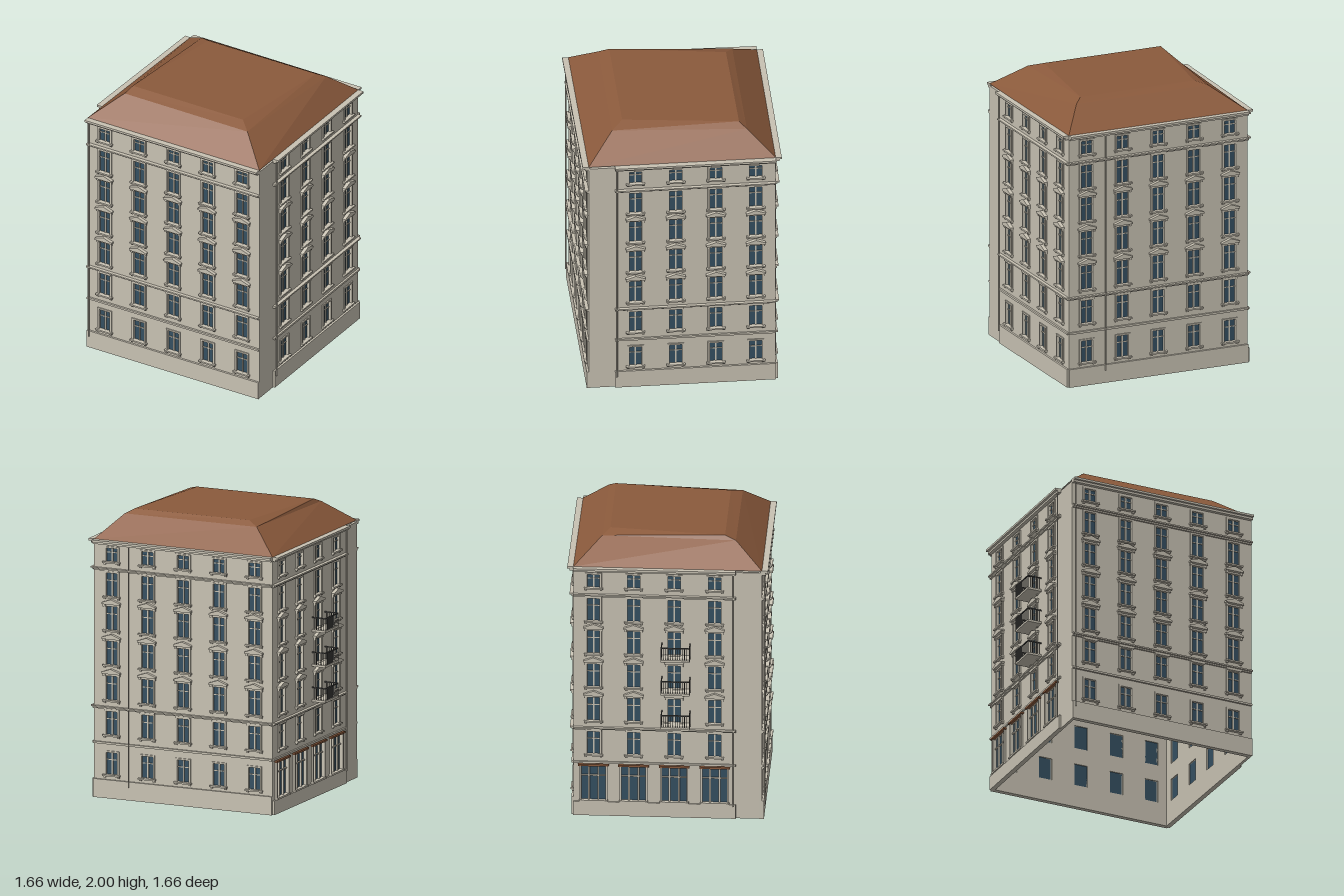
import * as THREE from 'three';

const stone = new THREE.MeshStandardMaterial({ color: 0xc8c2b3, side: THREE.DoubleSide });
stone.name = 'pale stone';
const glass = new THREE.MeshStandardMaterial({ color: 0x34506a, side: THREE.DoubleSide });
glass.name = 'blue grey glass';
glass.color.set(0x344f61);
const tile = new THREE.MeshStandardMaterial({ color: 0x8b5a3c });
tile.name = 'brown roof tile';
const iron = new THREE.MeshStandardMaterial({ color: 0x4a4a48 });
iron.name = 'dark iron';

// footprint corners [x, z]; the plan is slightly skewed and turned
const FL = [-0.524, 0.784], FR = [0.818, 0.464], BR = [0.529, -0.793], BL = [-0.791, -0.487];
const WALL_TOP = 1.8, STRIP = 0.18, WIN_W = 0.1;

// storeys: window bottom, window top, pediment
const storeys = [
  [0.165, 0.325, false], [0.445, 0.615, false], [0.69, 0.865, true], [0.938, 1.11, true],
  [1.183, 1.355, true], [1.42, 1.59, false], [1.665, 1.765, false],
];

// box between x0..x1, y0..y1, z0..z1
function box(parent, name, mat, x0, x1, y0, y1, z0, z1) {
  const m = new THREE.Mesh(new THREE.BoxGeometry(x1 - x0, y1 - y0, z1 - z0), mat);
  m.position.set((x0 + x1) / 2, (y0 + y1) / 2, (z0 + z1) / 2);
  m.name = name;
  parent.add(m);
  return m;
}

function pane(parent, x, w, y0, y1) {
  const m = new THREE.Mesh(new THREE.PlaneGeometry(w, y1 - y0), glass);
  m.position.set(x, (y0 + y1) / 2, -0.012);
  m.name = 'glass';
  parent.add(m);
}

// gabled hood over a window
const hoodShape = new THREE.Shape([
  [-0.068, 0], [0.068, 0], [0.068, 0.012], [0, 0.036], [-0.068, 0.012],
].map(([x, y]) => new THREE.Vector2(x, y)));
const hoodGeometry = new THREE.ExtrudeGeometry(hoodShape, { depth: 0.025, bevelEnabled: false });

function addWindow(wall, x, [y0, y1, hood]) {
  const g = new THREE.Group();
  g.name = 'window';
  g.position.x = x;
  wall.add(g);
  const h = WIN_W / 2;
  pane(g, 0, WIN_W, y0, y1);
  for (const s of [-1, 1]) {
    box(g, 'jamb', stone, s * h - 0.007, s * h + 0.007, y0, y1, -0.012, 0.008);
    box(g, 'sillBracket', stone, s * 0.052 - 0.008, s * 0.052 + 0.008, y0 - 0.02, y0 - 0.008, 0, 0.012);
  }
  box(g, 'lintel', stone, -h - 0.007, h + 0.007, y1 - 0.004, y1 + 0.008, -0.012, 0.008);
  box(g, 'sill', stone, -0.065, 0.065, y0 - 0.009, y0 + 0.002, -0.01, 0.022);
  box(g, 'mullion', stone, -0.005, 0.005, y0, y1, -0.011, -0.004);
  const ty = y0 + (y1 - y0) * 0.66;
  box(g, 'transom', stone, -h, h, ty - 0.003, ty + 0.003, -0.011, -0.005);
  if (hood) {
    const m = new THREE.Mesh(hoodGeometry, stone);
    m.position.set(0, y1 + 0.012, 0);
    m.name = 'pediment';
    g.add(m);
    for (const s of [-1, 1])
      box(g, 'hoodBracket', stone, s * 0.055 - 0.008, s * 0.055 + 0.008, y1 - 0.006, y1 + 0.012, 0, 0.015);
  }
}

// glazed shop opening on the street side
function addShopfront(wall, x) {
  const g = new THREE.Group();
  g.name = 'shopfront';
  g.position.x = x;
  wall.add(g);
  pane(g, 0, 0.18, 0.11, 0.36);
  for (const px of [-0.09, -0.032, 0.032, 0.09])
    box(g, 'shopPost', stone, px - 0.006, px + 0.006, 0.11, 0.36, -0.012, Math.abs(px) > 0.05 ? 0.014 : 0.002);
  box(g, 'shopTransom', stone, -0.09, 0.09, 0.285, 0.293, -0.011, 0);
  box(g, 'shopSill', stone, -0.1, 0.1, 0.1, 0.112, -0.011, 0.022);
  box(g, 'shopFascia', tile, -0.105, 0.105, 0.362, 0.375, 0, 0.022);
}

function addBalcony(wall, x, y) {
  const g = new THREE.Group();
  g.name = 'balcony';
  g.position.set(x, y, 0);
  wall.add(g);
  box(g, 'balconySlab', stone, -0.1, 0.1, -0.015, 0, 0, 0.105);
  box(g, 'frontRail', iron, -0.1, 0.1, 0.082, 0.09, 0.097, 0.105);
  for (const s of [-1, 1])
    box(g, 'sideRail', iron, s * 0.097 - 0.003, s * 0.097 + 0.003, 0.082, 0.09, 0, 0.1);
  for (let i = 0; i <= 12; i++) {
    const bx = -0.097 + i * 0.194 / 12;
    box(g, 'baluster', iron, bx - 0.002, bx + 0.002, 0, 0.083, 0.099, 0.103);
  }
  for (const s of [-1, 1]) for (let i = 1; i < 6; i++)
    box(g, 'baluster', iron, s * 0.097 - 0.002, s * 0.097 + 0.002, 0, 0.083, i * 0.017 - 0.002, i * 0.017 + 0.002);
}

// one wall from corner a to corner b; local +z faces out
function buildWall(name, a, b, { columns, from = 0, to = 0, shops = false, pipe }) {
  const dx = b[0] - a[0], dz = b[1] - a[1], len = Math.hypot(dx, dz);
  const wall = new THREE.Group();
  wall.name = name;
  wall.position.set(a[0], 0, a[1]);
  wall.rotation.y = Math.atan2(-dz, dx);

  // masonry with window openings
  const shape = new THREE.Shape();
  shape.moveTo(0, 0).lineTo(len, 0).lineTo(len, WALL_TOP).lineTo(0, WALL_TOP).closePath();
  columns.forEach((f) => storeys.forEach(([y0, y1], i) => {
    const shop = shops && i === 0, h = shop ? 0.09 : WIN_W / 2, x = f * len;
    const lo = shop ? 0.11 : y0, hi = shop ? 0.36 : y1;
    const hole = new THREE.Path();
    hole.moveTo(x - h, lo).lineTo(x - h, hi).lineTo(x + h, hi).lineTo(x + h, lo).closePath();
    shape.holes.push(hole);
  }));
  const masonry = new THREE.Mesh(new THREE.ExtrudeGeometry(shape, { depth: 0.02, bevelEnabled: false }), stone);
  masonry.position.z = -0.02;
  masonry.name = 'masonry';
  wall.add(masonry);

  // windows and shops
  columns.forEach((f) => storeys.forEach((s, i) => {
    if (shops && i === 0) addShopfront(wall, f * len);
    else addWindow(wall, f * len, s);
  }));

  // plinth, string courses and cornice
  const x0 = from, x1 = len - to;
  box(wall, 'plinth', stone, x0, x1, 0, shops ? 0.1 : 0.13, 0, 0.014);
  box(wall, 'lowerCourse', stone, x0, x1, 0.38, 0.394, 0, 0.014);
  box(wall, 'middleCourse', stone, x0, x1, 0.636, 0.646, 0, 0.024);
  box(wall, 'middleCourseStep', stone, x0, x1, 0.627, 0.636, 0, 0.012);
  box(wall, 'upperCourse', stone, x0, x1, 1.61, 1.62, 0, 0.026);
  box(wall, 'upperCourseStep', stone, x0, x1, 1.6, 1.61, 0, 0.013);
  box(wall, 'corniceStep', stone, x0, x1, 1.785, 1.8, 0, 0.025);
  box(wall, 'cornice', stone, x0, x1, 1.8, 1.815, -0.01, 0.042);
  columns.forEach((f) => box(wall, 'courseApron', stone, f * len - 0.055, f * len + 0.055, 0.617, 0.63, 0, 0.014));

  // rainwater pipe
  const p = new THREE.Mesh(new THREE.CylinderGeometry(0.005, 0.005, 1.7, 8), stone);
  p.position.set(pipe * len, 0.94, 0.02);
  p.name = 'drainpipe';
  wall.add(p);
  return { wall, len };
}

function buildRoof() {
  const rings = [
    [1.815, [FL, FR, BR, BL]],
    [1.97, [[-0.39, 0.56], [0.575, 0.335], [0.43, -0.58], [-0.545, -0.35]]],
    [2.0, [[-0.387, 0.482], [0.475, 0.278], [0.39, -0.52], [-0.453, -0.318]]],
  ].map(([y, pts]) => pts.map(([x, z]) => [x, y, z]));
  const pos = [];
  const quad = (a, b, c, d) => pos.push(...a, ...b, ...c, ...a, ...c, ...d);
  for (let r = 0; r < 2; r++) for (let i = 0; i < 4; i++) {
    const j = (i + 1) % 4;
    quad(rings[r][i], rings[r][j], rings[r + 1][j], rings[r + 1][i]);
  }
  quad(...rings[2]);
  const g = new THREE.BufferGeometry();
  g.setAttribute('position', new THREE.Float32BufferAttribute(pos, 3));
  g.computeVertexNormals();
  const roof = new THREE.Mesh(g, tile);
  roof.name = 'hippedRoof';
  return roof;
}

export function createModel() {
  const model = new THREE.Group();
  model.name = 'apartmentBuilding';
  const five = [0.1, 0.3, 0.5, 0.7, 0.9];
  const four = [0.107, 0.32, 0.535, 0.75];

  model.add(buildWall('frontWall', FL, FR, { columns: five, pipe: 0.014 }).wall);
  model.add(buildWall('sideWall', FR, BR, { columns: four.map((f) => 1 - f), from: STRIP, pipe: 0.15 }).wall);
  model.add(buildWall('backWall', BR, BL, { columns: five, pipe: 0.2 }).wall);
  const street = buildWall('streetWall', BL, FL, { columns: four, to: STRIP, shops: true, pipe: 0.85 });
  for (const y of [0.69, 0.938, 1.183]) addBalcony(street.wall, street.len * 0.545, y);
  model.add(street.wall);

  // ceiling that closes the walls under the roof
  const lid = new THREE.ShapeGeometry(new THREE.Shape([FL, FR, BR, BL].map(([x, z]) => new THREE.Vector2(x, -z))));
  lid.rotateX(-Math.PI / 2);
  const ceiling = new THREE.Mesh(lid, stone);
  ceiling.position.y = 1.812;
  ceiling.name = 'ceiling';
  model.add(ceiling, buildRoof());
  return model;
}
